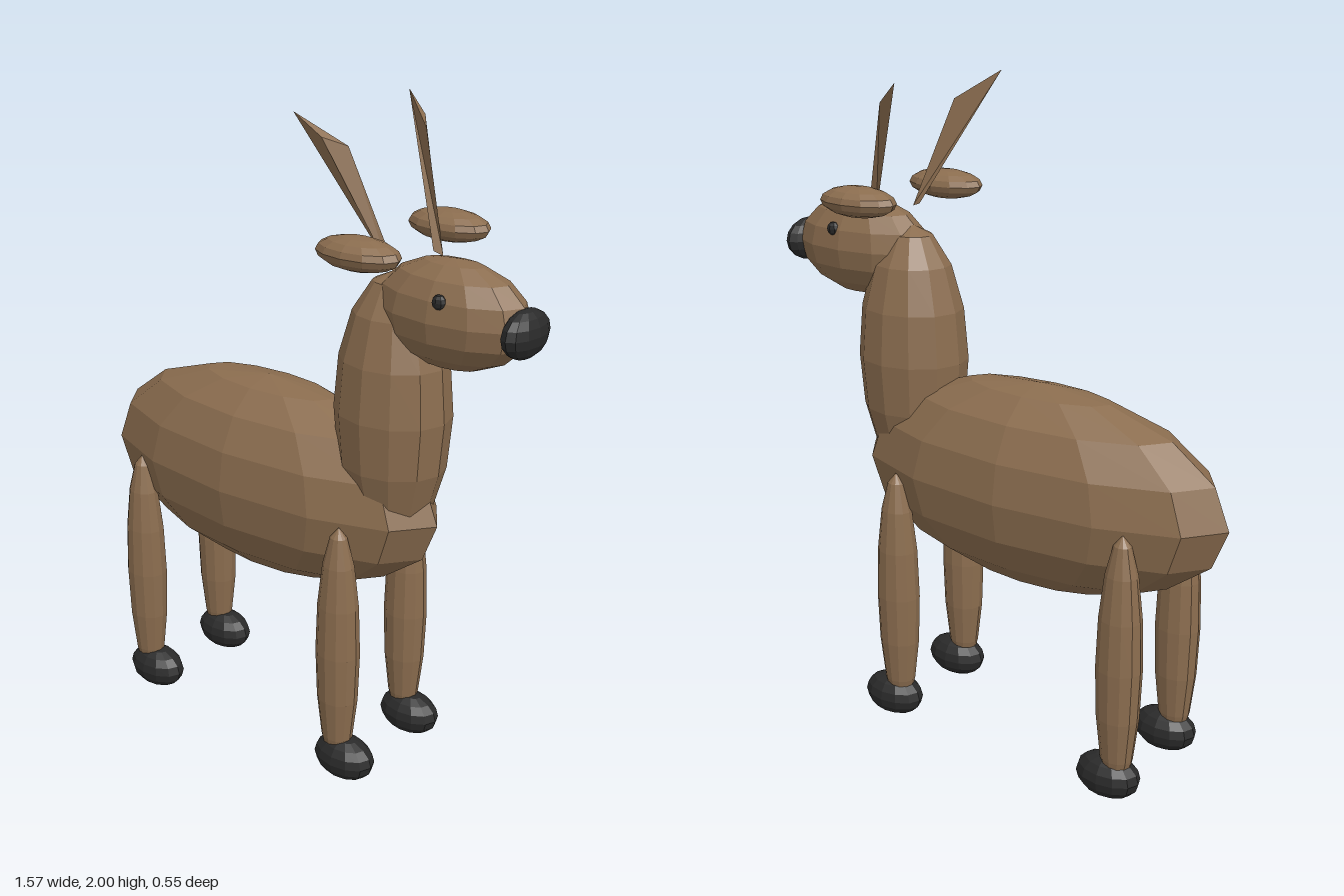
import * as THREE from 'three';

export function createModel() {
  const group = new THREE.Group();
  const fur = new THREE.MeshStandardMaterial({ color: 0x8b6d4f, flatShading: true });
  fur.name = 'brownFur';
  const dark = new THREE.MeshStandardMaterial({ color: 0x2a2a2a, flatShading: true });
  dark.name = 'darkHorn';

  // Faceted ellipsoid given by centre and radii
  function ellipsoid(name, material, centre, radii, across = 12, down = 8) {
    const geometry = new THREE.SphereGeometry(1, across, down);
    geometry.scale(...radii);
    const mesh = new THREE.Mesh(geometry, material);
    mesh.position.set(...centre);
    mesh.name = name;
    group.add(mesh);
  }

  // Thin three-sided horn, widening from a small base to a slanted top
  function antler(name, side) {
    const base = [[0.37, 1.6, 0.1], [0.4, 1.59, 0.105], [0.385, 1.6, 0.118]];
    const top = [[0.165, 2, 0.245], [0.285, 1.915, 0.168], [0.24, 1.94, 0.222]];
    const points = [...base, ...top].map(([x, y, z]) => [x, y, z * side]);
    const geometry = new THREE.BufferGeometry();
    geometry.setAttribute('position', new THREE.Float32BufferAttribute(points.flat(), 3));
    const index = [0, 1, 2, 3, 5, 4];
    for (let i = 0; i < 3; i++) {
      const j = (i + 1) % 3;
      index.push(i, i + 3, j, j, i + 3, j + 3);
    }
    // Mirroring reverses the corner order
    if (side > 0) index.reverse();
    // Pick the outward winding from the signed volume
    let volume = 0;
    for (let i = 0; i < index.length; i += 3) {
      const [a, b, c] = [0, 1, 2].map((k) => new THREE.Vector3(...points[index[i + k]]));
      volume += a.dot(b.cross(c));
    }
    if (volume < 0) index.reverse();
    geometry.setIndex(index);
    const faceted = geometry.toNonIndexed();
    faceted.computeVertexNormals();
    const mesh = new THREE.Mesh(faceted, fur);
    mesh.name = name;
    group.add(mesh);
  }

  // Trunk, neck and head, facing +x
  ellipsoid('body', fur, [-0.15, 0.837, 0], [0.637, 0.313, 0.228]);
  ellipsoid('neck', fur, [0.32, 1.15, 0], [0.178, 0.41, 0.153]);
  ellipsoid('head', fur, [0.51, 1.475, 0], [0.242, 0.152, 0.122]);
  ellipsoid('nose', dark, [0.74, 1.467, 0], [0.046, 0.067, 0.095]);

  // Paired parts
  for (const side of [-1, 1]) {
    const label = side > 0 ? 'Near' : 'Far';
    ellipsoid('eye' + label, dark, [0.54, 1.535, side * 0.105], [0.021, 0.021, 0.017], 8, 6);
    ellipsoid('ear' + label, fur, [0.348, 1.651, side * 0.202], [0.132, 0.045, 0.075]);
    antler('antler' + label, side);
    for (const [end, x] of [['front', 0.262], ['rear', -0.55]]) {
      ellipsoid(end + 'Leg' + label, fur, [x, 0.42, side * 0.165], [0.07, 0.405, 0.06]);
      ellipsoid(end + 'Hoof' + label, dark, [x + 0.028, 0.067, side * 0.163], [0.103, 0.067, 0.068]);
    }
  }
  return group;
}
